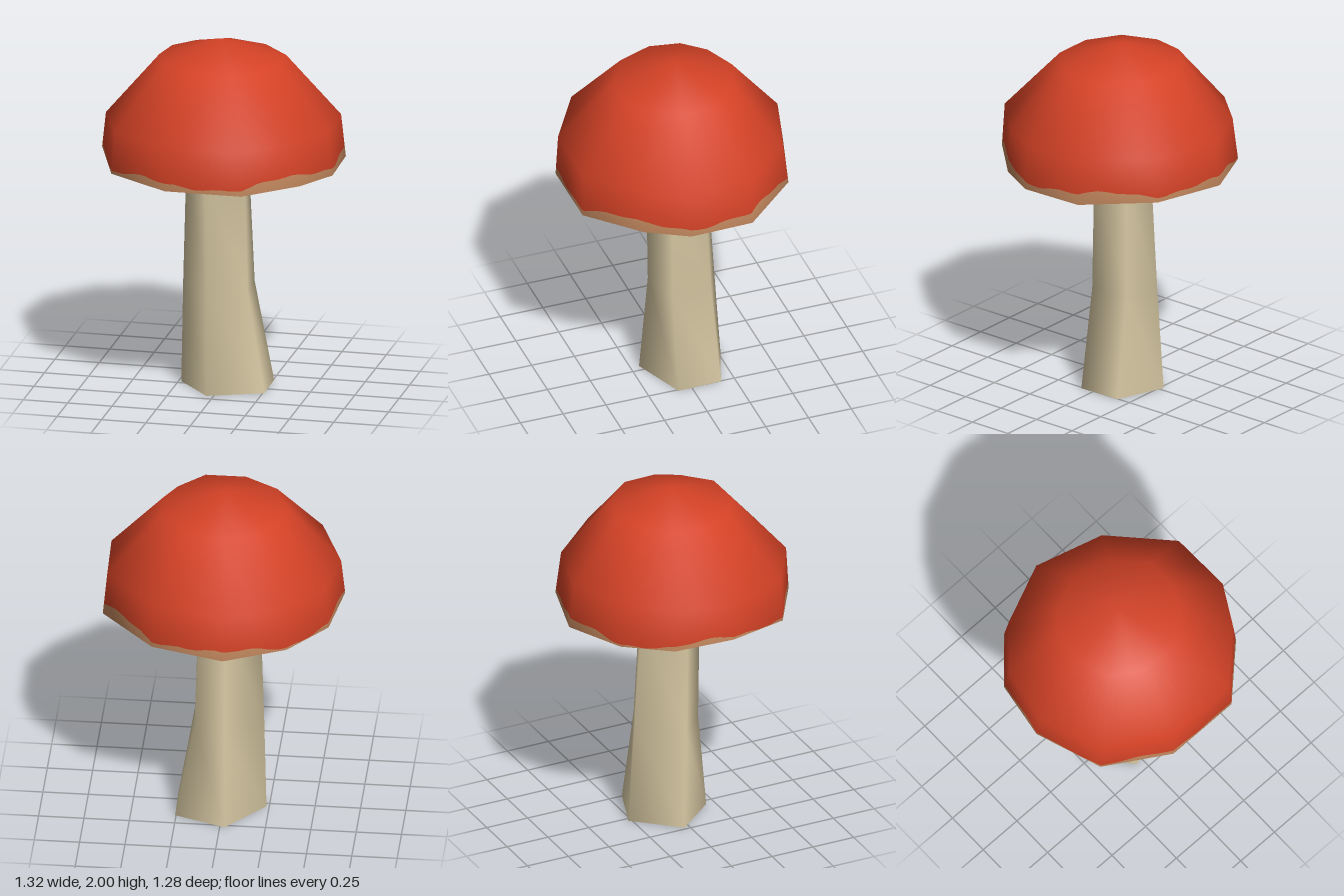
import * as THREE from 'three';

const mat = (name, color) => {
  const m = new THREE.MeshStandardMaterial({ color });
  m.name = name;
  return m;
};

// Skins closed rings of points (lowest first, counter-clockwise from above)
function loft(name, rings, material, normalAt) {
  const n = rings[0].length, pos = [], index = [];
  rings.forEach(r => r.forEach(p => pos.push(p.x, p.y, p.z)));
  for (let i = 0; i < rings.length - 1; i++) {
    for (let j = 0; j < n; j++) {
      const a = i * n + j, b = i * n + (j + 1) % n;
      index.push(a, b, a + n, b, b + n, a + n);
    }
  }
  const g = new THREE.BufferGeometry();
  g.setAttribute('position', new THREE.Float32BufferAttribute(pos, 3));
  g.setIndex(index);
  if (normalAt) {
    const nor = rings.flat().flatMap(p => normalAt(p).normalize().toArray());
    g.setAttribute('normal', new THREE.Float32BufferAttribute(nor, 3));
  } else g.computeVertexNormals();
  const mesh = new THREE.Mesh(g, material);
  mesh.name = name;
  return mesh;
}

const V = (x, y, z) => new THREE.Vector3(x, y, z);

export function createModel() {
  const group = new THREE.Group();
  group.name = 'mushroom';
  const red = mat('cap red', 0xd44226);
  const tan = mat('rim tan', 0xc4895f);
  const cream = mat('cream', 0xd6c7a2);

  // Uneven eleven-sided rim of the cap
  const corners = [
    [0.66, 1.305, 0.15], [0.65, 1.305, -0.21], [0.35, 1.305, -0.53], [-0.05, 1.305, -0.645],
    [-0.39, 1.31, -0.5], [-0.6, 1.325, -0.27], [-0.66, 1.35, 0.06], [-0.52, 1.315, 0.43],
    [-0.17, 1.305, 0.64], [0.26, 1.305, 0.64], [0.53, 1.305, 0.38],
  ].map(p => V(...p));

  // Each side is divided so the painted edge can wander
  const STEPS = 8;
  const rim = corners.flatMap((p, i) => Array.from({ length: STEPS },
    (_, k) => p.clone().lerp(corners[(i + 1) % corners.length], k / STEPS)));
  const ring = (s, y, dz = 0) => rim.map(p => V(p.x * s, y, p.z * s + dz));

  const shoulder = ring(0.965, 1.55, 0.01);
  const wavy = rim.map((p, i) => {
    const a = Math.atan2(-p.z, p.x);
    const h = 0.036 + 0.017 * Math.cos(a) + 0.018 * Math.cos(5 * a + 3.93) + 0.006 * Math.sin(17 * a);
    return p.clone().lerp(shoulder[i], Math.max(h, 0.004) / 0.245);
  });
  const domeNormal = p => V(p.x, p.y - 1.33, p.z);

  group.add(loft('capDome', [wavy, shoulder, ring(0.52, 1.895), ring(0, 2)], red, domeNormal));
  group.add(loft('capRimBand', [rim, wavy], tan, domeNormal));
  group.add(loft('capUnderside', [ring(0, 1.175), ring(0.19, 1.175), rim], cream));

  // Five-sided stem, flaring towards one side at the foot
  const level = (y, pts) => pts.map(([x, z]) => V(x, y, z));
  const foot = level(0, [[0.26, 0.08], [0.255, -0.17], [-0.025, -0.27], [-0.235, -0.03], [-0.04, 0.2]]);
  const middle = level(0.57, [[0.165, 0.08], [0.15, -0.15], [-0.02, -0.23], [-0.22, -0.01], [-0.05, 0.145]]);
  const neck = level(1.24, [[0.148, 0.08], [0.125, -0.125], [-0.02, -0.187], [-0.198, 0.01], [-0.06, 0.15]]);
  group.add(loft('stem', [foot, middle, neck], cream));
  group.add(loft('stemBase', [foot.map(() => V(0, 0, 0)), foot], cream, () => V(0, -1, 0)));

  return group;
}
